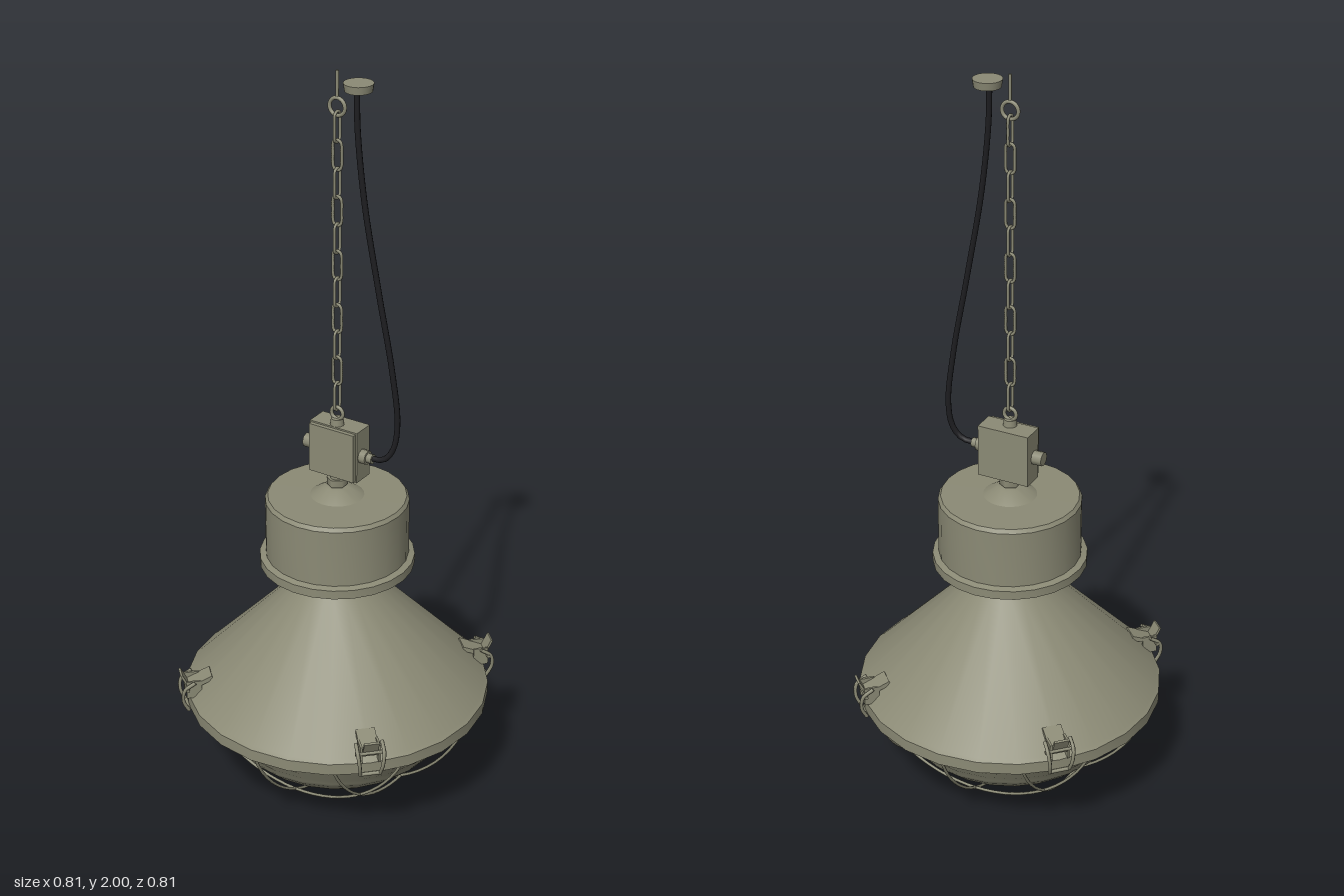
import * as THREE from 'three';
import { toCreasedNormals } from 'three/addons/utils/BufferGeometryUtils.js';

const V = (x, y, z) => new THREE.Vector3(x, y, z);

export function createModel() {
  const root = new THREE.Group();
  const olive = new THREE.MeshStandardMaterial({ color: 0x8b8a75, side: THREE.DoubleSide });
  olive.name = 'olive grey paint';
  const black = new THREE.MeshStandardMaterial({ color: 0x1d1d20 });
  black.name = 'black rubber';

  const add = (parent, name, geo, x = 0, y = 0, z = 0, mat = olive) => {
    const m = new THREE.Mesh(geo, mat);
    m.name = name;
    m.position.set(x, y, z);
    parent.add(m);
    return m;
  };
  const lathe = (pts, seg = 24) => toCreasedNormals(
    new THREE.LatheGeometry(pts.map(p => new THREE.Vector2(p[0], p[1])), seg), 0.55);
  const tube = (pts, r, seg = 24, closed = false, sides = 6) =>
    new THREE.TubeGeometry(new THREE.CatmullRomCurve3(pts, closed), seg, r, sides, closed);
  const cyl = (r1, r2, h, seg = 16) => new THREE.CylinderGeometry(r1, r2, h, seg);

  // Conical shade with rolled rim and neck
  add(root, 'shade', lathe([[0.345, 0.285], [0.36, 0.268], [0.405, 0.268], [0.405, 0.3],
    [0.395, 0.308], [0.115, 0.6], [0.1, 0.615], [0.1, 0.695]]));

  // Gear housing drum with bottom flange and raised cap
  add(root, 'housing', lathe([[0.09, 0.685], [0.17, 0.685], [0.18, 0.668], [0.203, 0.668],
    [0.203, 0.692], [0.187, 0.697], [0.187, 0.853], [0.18, 0.863], [0.07, 0.864],
    [0.032, 0.888], [0.018, 0.89], [0.018, 0.925]]));
  add(root, 'housingNut', cyl(0.027, 0.027, 0.02, 6), 0, 0.903, 0);

  // Glass bowl: stepped prismatic band above a smooth dish
  const bowl = [[0, 0.02], [0.07, 0.025], [0.14, 0.044], [0.2, 0.075], [0.25, 0.112], [0.285, 0.145]];
  for (let i = 0; i < 5; i++) {
    const y = 0.16 + i * 0.02, r = 0.296 + i * 0.011;
    bowl.push([r, y], [r + 0.004, y + 0.012]);
  }
  bowl.push([0.352, 0.262], [0.355, 0.285]);
  add(root, 'glassBowl', lathe(bowl));

  // Wire guard: crossing arcs lying on a sphere
  const guard = new THREE.Group();
  guard.name = 'wireGuard';
  root.add(guard);
  const R = 0.42, rim = 0.387;
  for (const turn of [0, Math.PI / 2]) {
    for (const off of [-0.205, 0, 0.205]) {
      const half = Math.sqrt(rim * rim - off * off), pts = [];
      for (let i = 0; i <= 14; i++) {
        const a = -half * Math.cos(Math.PI * i / 14);
        pts.push(V(off, R + 0.004 - Math.sqrt(R * R - a * a - off * off), a));
      }
      add(guard, 'guardWire', tube(pts, 0.004, 28)).rotation.y = turn;
    }
  }
  const ring = add(guard, 'guardRing', new THREE.TorusGeometry(rim, 0.005, 6, 48), 0, 0.266, 0);
  ring.rotation.x = Math.PI / 2;

  // Four toggle latches on the diagonals
  for (let i = 0; i < 4; i++) {
    const latch = new THREE.Group();
    latch.name = 'latch';
    latch.rotation.y = Math.PI / 4 + i * Math.PI / 2;
    root.add(latch);
    add(latch, 'latchBase', new THREE.BoxGeometry(0.05, 0.012, 0.075), 0, 0.345, 0.376).rotation.x = 0.4;
    for (const s of [-1, 1]) {
      add(latch, 'latchCheek', new THREE.BoxGeometry(0.006, 0.05, 0.04), s * 0.024, 0.33, 0.392);
      add(latch, 'latchBail', tube([V(s * 0.034, 0.355, 0.39), V(s * 0.034, 0.335, 0.418),
        V(s * 0.03, 0.3, 0.422), V(s * 0.026, 0.268, 0.408)], 0.005, 12));
    }
    const lever = add(latch, 'latchLever', new THREE.BoxGeometry(0.04, 0.055, 0.006), 0, 0.348, 0.412);
    lever.rotation.x = 0.45;
    for (const [y, z, w] of [[0.335, 0.41, 0.08], [0.27, 0.408, 0.056]])
      add(latch, 'latchPin', cyl(0.005, 0.005, w, 8), 0, y, z).rotation.z = Math.PI / 2;
  }

  // Junction box with lid, glands and lifting eye
  add(root, 'junctionBox', new THREE.BoxGeometry(0.142, 0.142, 0.06), 0, 0.994, -0.012);
  add(root, 'boxLid', new THREE.BoxGeometry(0.134, 0.134, 0.012), 0, 0.994, 0.023);
  for (const [x, r, w] of [[-0.083, 0.019, 0.03], [0.08, 0.019, 0.02], [0.095, 0.013, 0.02]])
    add(root, 'cableGland', cyl(r, r, w, 8), x, 0.992, -0.005).rotation.z = Math.PI / 2;
  add(root, 'eyeBase', cyl(0.016, 0.018, 0.018, 12), 0, 1.074, 0);
  add(root, 'liftingEye', new THREE.TorusGeometry(0.017, 0.005, 8, 16), 0, 1.097, 0);

  // Chain of alternating oval links
  const oval = [];
  for (let i = 0; i < 16; i++) {
    const a = i / 16 * Math.PI * 2, s = Math.sin(a);
    oval.push(V(0.0125 * Math.cos(a), 0.0125 * s + Math.sign(Math.round(s * 100)) * 0.026, 0));
  }
  const linkGeo = tube(oval, 0.004, 32, true);
  for (let k = 0; k < 11; k++)
    add(root, 'chainLink', linkGeo, 0, 1.86 - k * 0.0715, 0).rotation.y = k % 2 ? 0 : Math.PI / 2;

  // Ceiling hook and rosette
  add(root, 'ceilingRing', new THREE.TorusGeometry(0.022, 0.005, 8, 20), 0, 1.91, 0);
  add(root, 'ceilingScrew', cyl(0.004, 0.004, 0.07, 8), 0, 1.965, 0);
  add(root, 'ceilingRosette', cyl(0.037, 0.034, 0.02, 24), 0.06, 1.97, 0);

  // Power cable
  add(root, 'powerCable', tube([V(0.055, 1.965, 0), V(0.06, 1.86, 0.003), V(0.08, 1.68, 0.002),
    V(0.118, 1.45, -0.006), V(0.152, 1.25, -0.015), V(0.167, 1.1, -0.02), V(0.158, 1.03, -0.015),
    V(0.135, 0.998, -0.008), V(0.09, 0.992, -0.005)], 0.0075, 60, false, 8), 0, 0, 0, black);

  return root;
}
